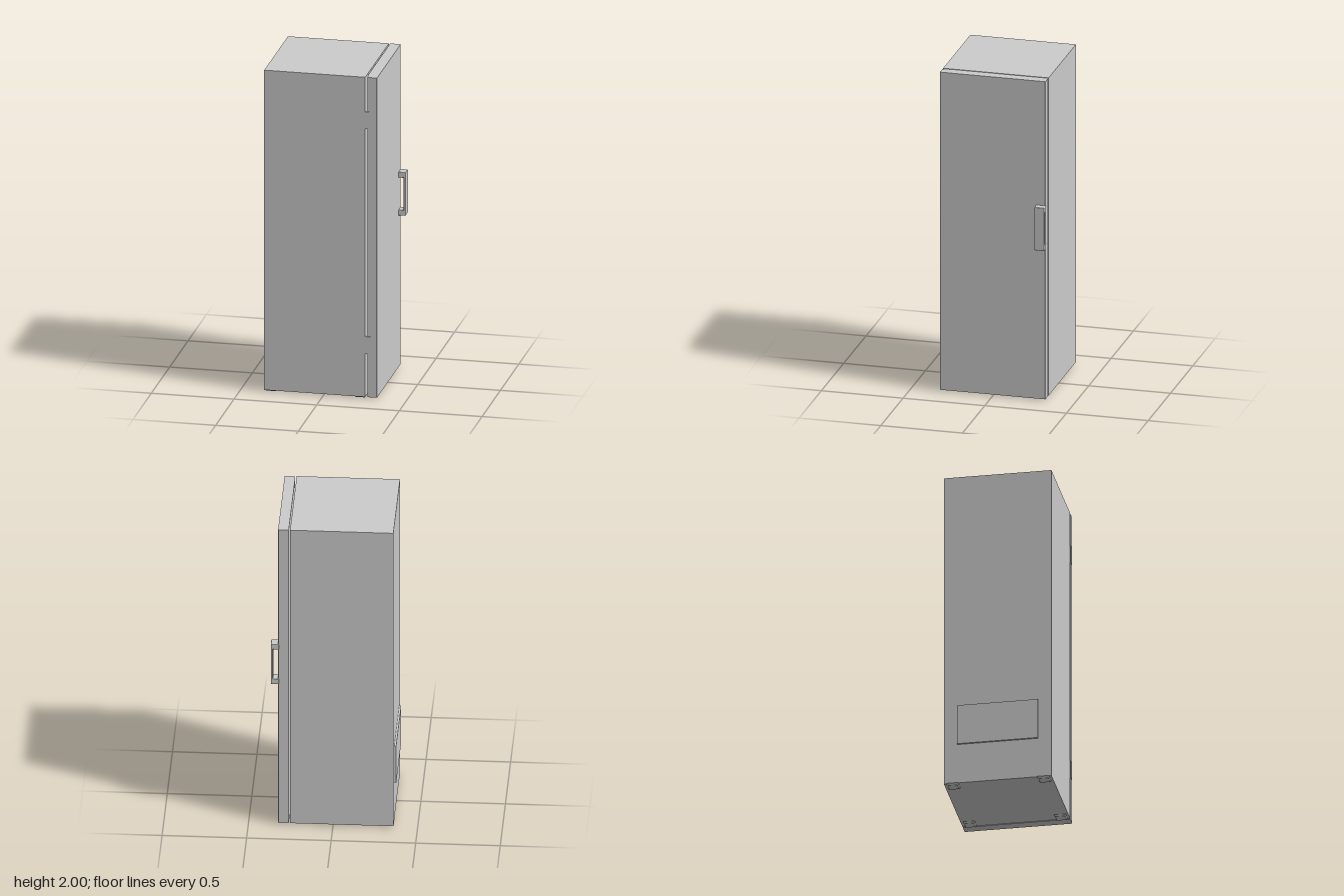
import * as THREE from 'three';
import { RoundedBoxGeometry } from 'three/addons/geometries/RoundedBoxGeometry.js';

const material = new THREE.MeshStandardMaterial({ color: 0xcccccc });

function add(group, name, geometry) {
  const mesh = new THREE.Mesh(geometry, material);
  mesh.name = name;
  group.add(mesh);
  return mesh;
}

// Box given by its minimum and maximum corners
function box(group, name, [x0, y0, z0], [x1, y1, z1], radius = 0) {
  const size = [x1 - x0, y1 - y0, z1 - z0];
  const geometry = radius
    ? new RoundedBoxGeometry(...size, 2, radius)
    : new THREE.BoxGeometry(...size);
  const mesh = add(group, name, geometry);
  mesh.position.set((x0 + x1) / 2, (y0 + y1) / 2, (z0 + z1) / 2);
  return mesh;
}

export function createModel() {
  const fridge = new THREE.Group();
  fridge.name = 'refrigerator';

  // Cabinet and the compressor cover on its back
  box(fridge, 'cabinet', [-0.357, 0.01, -0.324], [0.254, 2, 0.322]);
  box(fridge, 'compressorCover', [-0.369, 0.26, -0.243], [-0.355, 0.51, 0.242]);

  // Door: plan outline (x, -z) with eased corners, extruded upwards
  const plan = new THREE.Shape();
  plan.moveTo(0.268, -0.322);
  plan.lineTo(0.322, -0.322);
  plan.quadraticCurveTo(0.325, -0.322, 0.325, -0.317);
  plan.lineTo(0.325, 0.318);
  plan.quadraticCurveTo(0.325, 0.324, 0.319, 0.324);
  plan.lineTo(0.266, 0.324);
  plan.quadraticCurveTo(0.262, 0.324, 0.262, 0.32);
  plan.lineTo(0.262, -0.26);
  plan.quadraticCurveTo(0.262, -0.29, 0.268, -0.322);
  const doorGeometry = new THREE.ExtrudeGeometry(plan, {
    depth: 1.99, bevelEnabled: false, curveSegments: 5,
  });
  doorGeometry.rotateX(-Math.PI / 2);
  add(fridge, 'door', doorGeometry).position.y = 0.01;

  // Hinge plates bridging the gap between cabinet and door
  for (const y of [0.28, 1.68]) {
    box(fridge, 'hinge', [0.254, y, 0.318], [0.287, y + 0.107, 0.327]);
  }

  // Handle: two arms and a vertical grip
  const handle = new THREE.Group();
  handle.name = 'handle';
  for (const y of [0.953, 1.188]) {
    box(handle, 'handleArm', [0.32, y, -0.328], [0.366, y + 0.035, -0.266], 0.004);
  }
  box(handle, 'handleGrip', [0.355, 0.953, -0.328], [0.368, 1.223, -0.266], 0.004);
  fridge.add(handle);

  // Four low square feet, tapering towards the floor
  for (const x of [-0.321, 0.218]) {
    for (const z of [-0.273, 0.273]) {
      const geometry = new THREE.CylinderGeometry(0.053, 0.04, 0.012, 4);
      geometry.rotateY(Math.PI / 4);
      add(fridge, 'foot', geometry).position.set(x, 0.006, z);
    }
  }
  return fridge;
}
